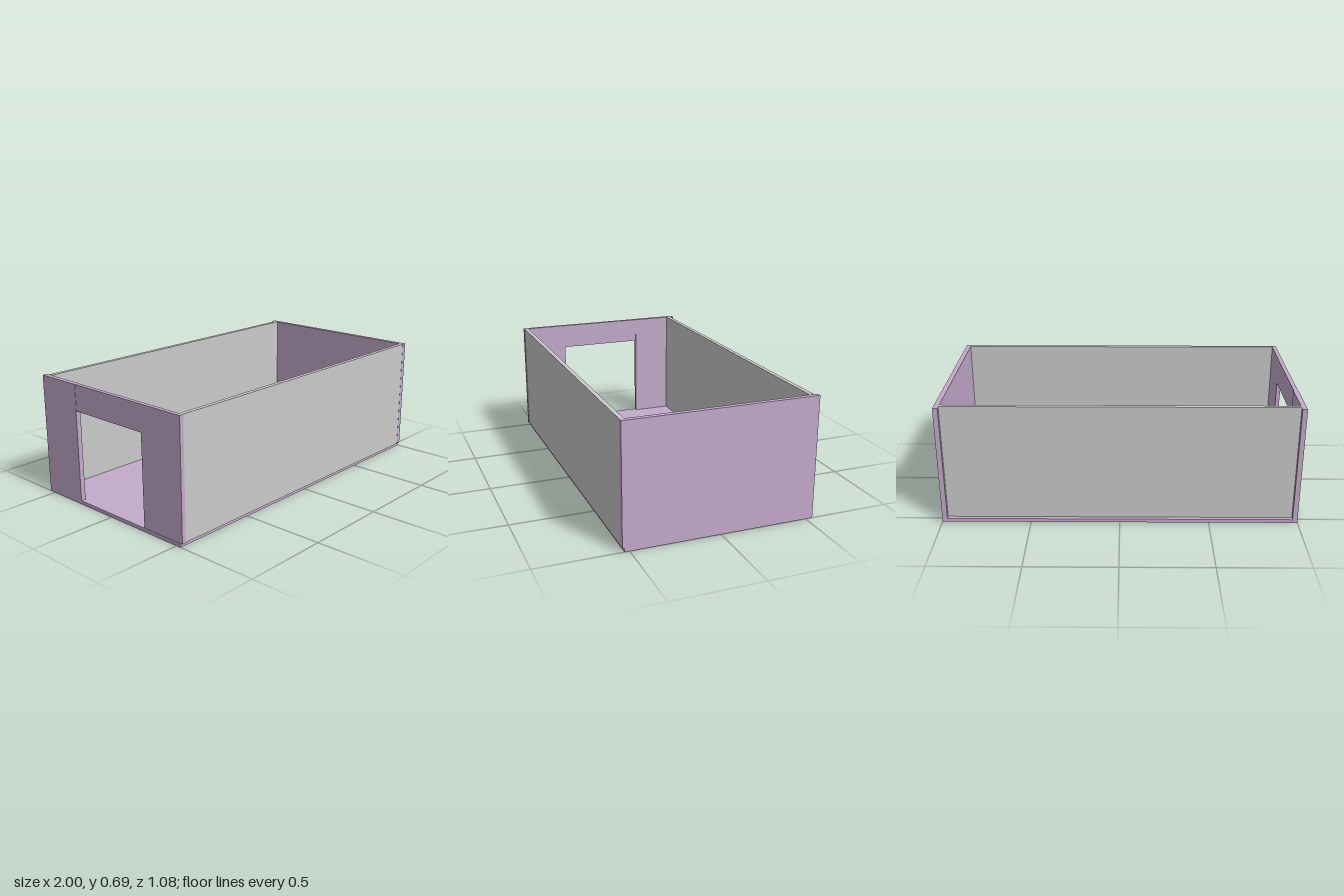
import * as THREE from 'three';

const mauve = new THREE.MeshStandardMaterial({ color: 0xc4aacb });
mauve.name = 'mauve';
const grey = new THREE.MeshStandardMaterial({ color: 0xcacaca });
grey.name = 'grey';

const BASE = 0.02, TOP = 0.69;

// Box given by its lower and upper corner
function panel(name, material, [x0, y0, z0], [x1, y1, z1]) {
  const mesh = new THREE.Mesh(new THREE.BoxGeometry(x1 - x0, y1 - y0, z1 - z0), material);
  mesh.position.set((x0 + x1) / 2, (y0 + y1) / 2, (z0 + z1) / 2);
  mesh.name = name;
  return mesh;
}

// End wall with an opening at its rear side, drawn in (z, y) and extruded along x
function doorWall() {
  const outline = [[0.54, BASE], [0.54, TOP], [-0.257, TOP], [-0.257, 0.54], [0.26, 0.54], [0.26, BASE]];
  const shape = new THREE.Shape(outline.map(([z, y]) => new THREE.Vector2(-z, y)));
  const geometry = new THREE.ExtrudeGeometry(shape, { depth: 0.024, bevelEnabled: false });
  geometry.rotateY(Math.PI / 2);
  const mesh = new THREE.Mesh(geometry, mauve);
  mesh.position.x = -0.998;
  mesh.name = 'doorWall';
  return mesh;
}

export function createModel() {
  const group = new THREE.Group();
  group.name = 'openRoom';
  group.add(
    panel('floor', mauve, [-1, 0, -0.54], [1, BASE, 0.528]),
    // Long walls, the rear one set in from the floor edge
    panel('frontWall', grey, [-0.975, BASE, 0.512], [0.972, TOP, 0.537]),
    panel('backWall', grey, [-0.972, BASE, -0.516], [0.972, TOP + 0.002, -0.491]),
    // Closed end wall
    panel('endWall', mauve, [0.972, BASE, -0.54], [1, TOP, 0.538]),
    // Opposite end: full-height rear panel and the wall with the opening
    panel('doorSidePanel', mauve, [-1, BASE, -0.54], [-0.972, TOP, -0.257]),
    doorWall(),
  );
  return group;
}
